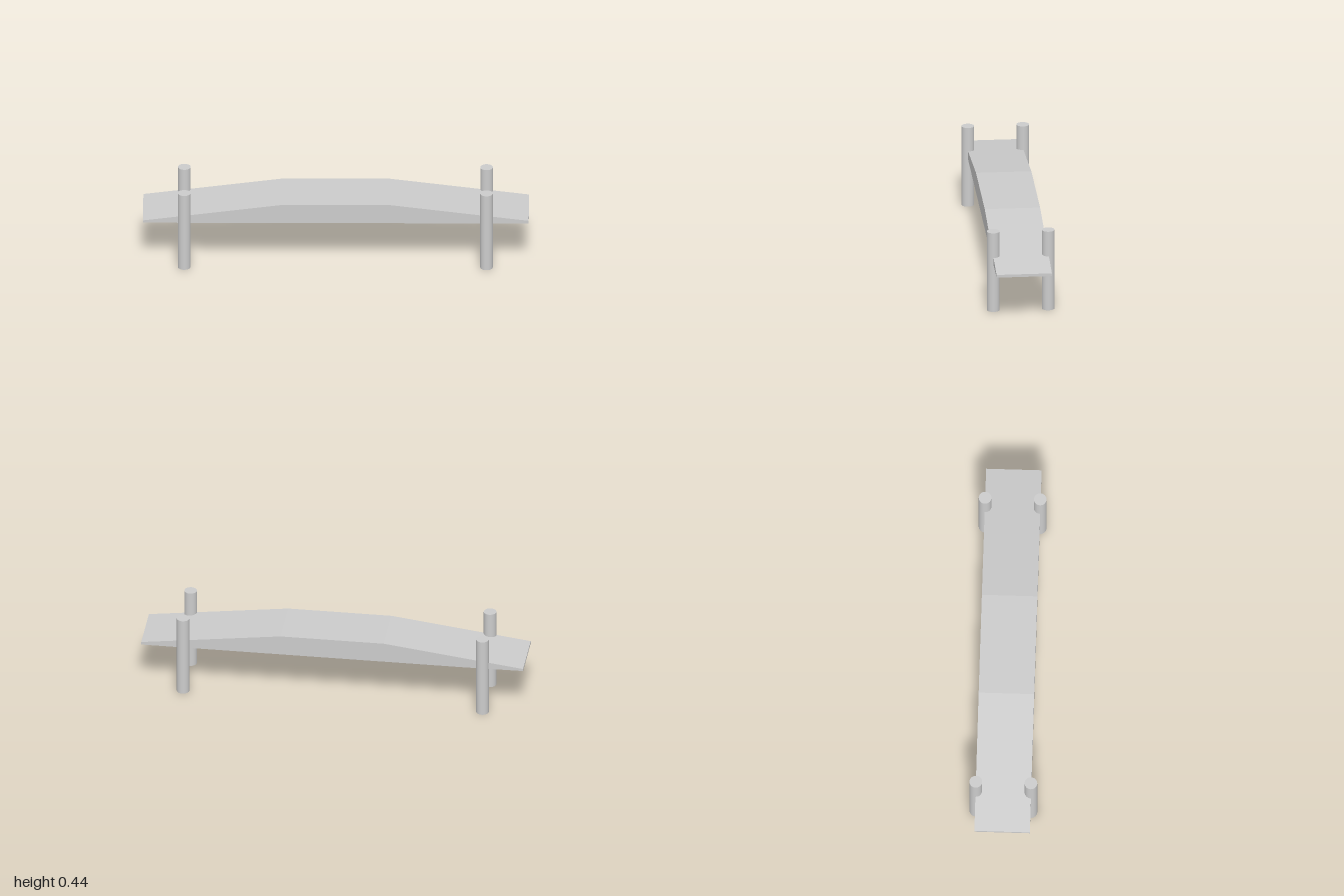
import * as THREE from 'three';

export function createModel() {
  const group = new THREE.Group();
  const grey = new THREE.MeshStandardMaterial({ color: 0xcccccc });

  // Arched deck: side profile extruded across the width
  const width = 0.288;
  const profile = new THREE.Shape([
    [-1, 0.262], [-0.68, 0.259], [1, 0.259], [1, 0.274],
    [0.27, 0.367], [-0.27, 0.367], [-1, 0.274],
  ].map(([x, y]) => new THREE.Vector2(x, y)));
  const deckGeometry = new THREE.ExtrudeGeometry(profile, { depth: width, bevelEnabled: false });
  deckGeometry.translate(0, 0, -width / 2);
  const deck = new THREE.Mesh(deckGeometry, grey);
  deck.name = 'deck';
  group.add(deck);

  // Four round posts centred on the deck's long edges
  const height = 0.435;
  const postGeometry = new THREE.CylinderGeometry(0.033, 0.033, height, 32);
  for (const x of [-0.787, 0.781]) {
    for (const z of [-0.143, 0.143]) {
      const post = new THREE.Mesh(postGeometry, grey);
      post.name = `${z > 0 ? 'front' : 'back'}${x > 0 ? 'Left' : 'Right'}Post`;
      post.position.set(x, height / 2, z);
      group.add(post);
    }
  }
  return group;
}
